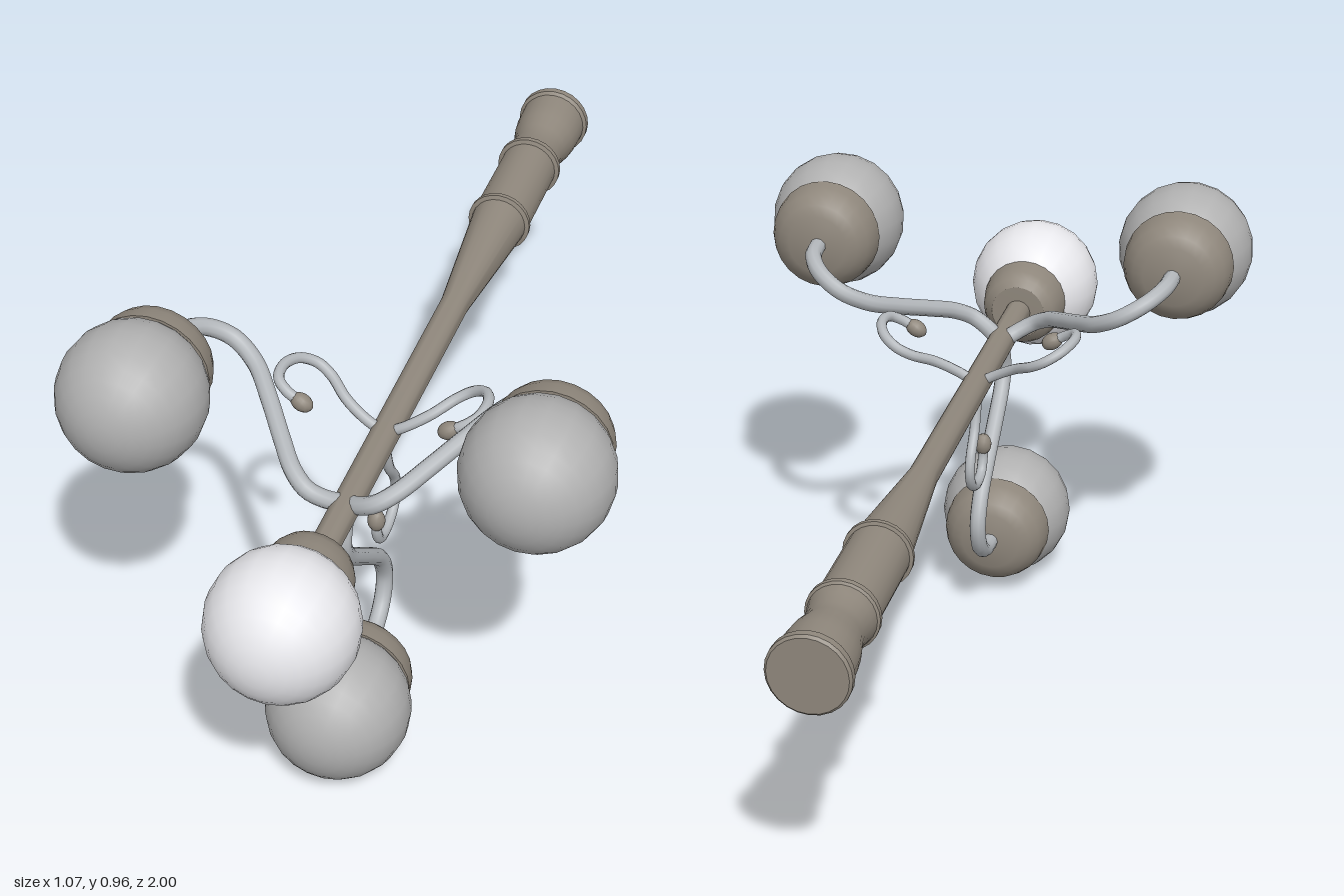
import * as THREE from 'three';
import { toCreasedNormals } from 'three/addons/utils/BufferGeometryUtils.js';

const mat = (color) => new THREE.MeshStandardMaterial({ color });
const bronze = mat(0x8f877c);
const steel = mat(0xb4b8bc);
const greyGlass = mat(0xb0b0b0);
const whiteGlass = mat(0xe8e8ec);

function add(parent, name, geometry, material) {
  const mesh = new THREE.Mesh(geometry, material);
  mesh.name = name;
  parent.add(mesh);
  return mesh;
}

// Turned shape along z from [radius, z] pairs
function turned(pairs, sides = 24) {
  const g = new THREE.LatheGeometry(pairs.map(([r, z]) => new THREE.Vector2(r, z)), sides);
  g.rotateX(Math.PI / 2);
  return toCreasedNormals(g, 0.6);
}

// Tube in the radial plane from [radius from post, z] pairs
function bentRod(pairs, thickness) {
  const curve = new THREE.CatmullRomCurve3(pairs.map(([r, z]) => new THREE.Vector3(r, 0, z)));
  return new THREE.TubeGeometry(curve, 56, thickness, 10);
}

function globe() {
  return new THREE.SphereGeometry(0.145, 20, 16).rotateX(Math.PI / 2);
}

// One side lamp with its S-shaped arm and scroll, reaching along local +x
function createBranch() {
  const branch = new THREE.Group();
  add(branch, 'arm', bentRod([
    [0.01, 0.5], [0.04, 0.518], [0.08, 0.525], [0.12, 0.503], [0.17, 0.445], [0.23, 0.37],
    [0.29, 0.305], [0.35, 0.28], [0.405, 0.298], [0.44, 0.345], [0.45, 0.42],
  ], 0.018), steel);
  add(branch, 'scroll', bentRod([
    [0.01, 0.265], [0.05, 0.262], [0.1, 0.245], [0.15, 0.21], [0.185, 0.202],
    [0.22, 0.22], [0.24, 0.265], [0.233, 0.308], [0.205, 0.325], [0.175, 0.327],
  ], 0.011), steel);
  const knob = add(branch, 'scrollKnob', new THREE.SphereGeometry(0.018, 12, 10), bronze);
  knob.scale.set(1.35, 1, 1);
  knob.position.set(0.172, 0, 0.327);

  const cap = add(branch, 'globeCap', turned([
    [0, 0.4], [0.065, 0.402], [0.088, 0.413], [0.106, 0.432], [0.115, 0.455], [0.118, 0.485], [0, 0.485],
  ]), bronze);
  cap.position.x = 0.45;
  add(branch, 'sideGlobe', globe(), greyGlass).position.set(0.45, 0, 0.575);
  return branch;
}

export function createModel() {
  const model = new THREE.Group();
  model.name = 'lampPost';
  const lamp = new THREE.Group();
  lamp.name = 'lamp';
  lamp.position.y = 0.6;
  model.add(lamp);

  // Post with flared foot, two ring mouldings and a taper
  add(lamp, 'post', turned([
    [0, -1], [0.075, -1], [0.08, -0.995], [0.08, -0.98], [0.073, -0.975],
    [0.072, -0.93], [0.068, -0.895], [0.06, -0.86], [0.058, -0.835], [0.062, -0.805], [0.066, -0.785],
    [0.071, -0.782], [0.071, -0.77], [0.062, -0.767],
    [0.062, -0.542], [0.069, -0.54], [0.069, -0.53], [0.06, -0.527],
    [0.03, -0.2], [0.028, 0.69], [0, 0.69],
  ]), bronze);

  // Main lamp at the end of the post
  add(lamp, 'mainCap', turned([
    [0, 0.667], [0.06, 0.668], [0.077, 0.68], [0.086, 0.7], [0.091, 0.725], [0.094, 0.75], [0, 0.75],
  ]), bronze);
  add(lamp, 'mainGlobe', globe(), whiteGlass).position.z = 0.855;

  // Three branches spaced evenly round the post
  for (let i = 0; i < 3; i++) {
    const branch = createBranch();
    branch.name = 'branch' + (i + 1);
    branch.rotation.z = Math.PI / 6 + (i * Math.PI * 2) / 3;
    lamp.add(branch);
  }
  return model;
}
